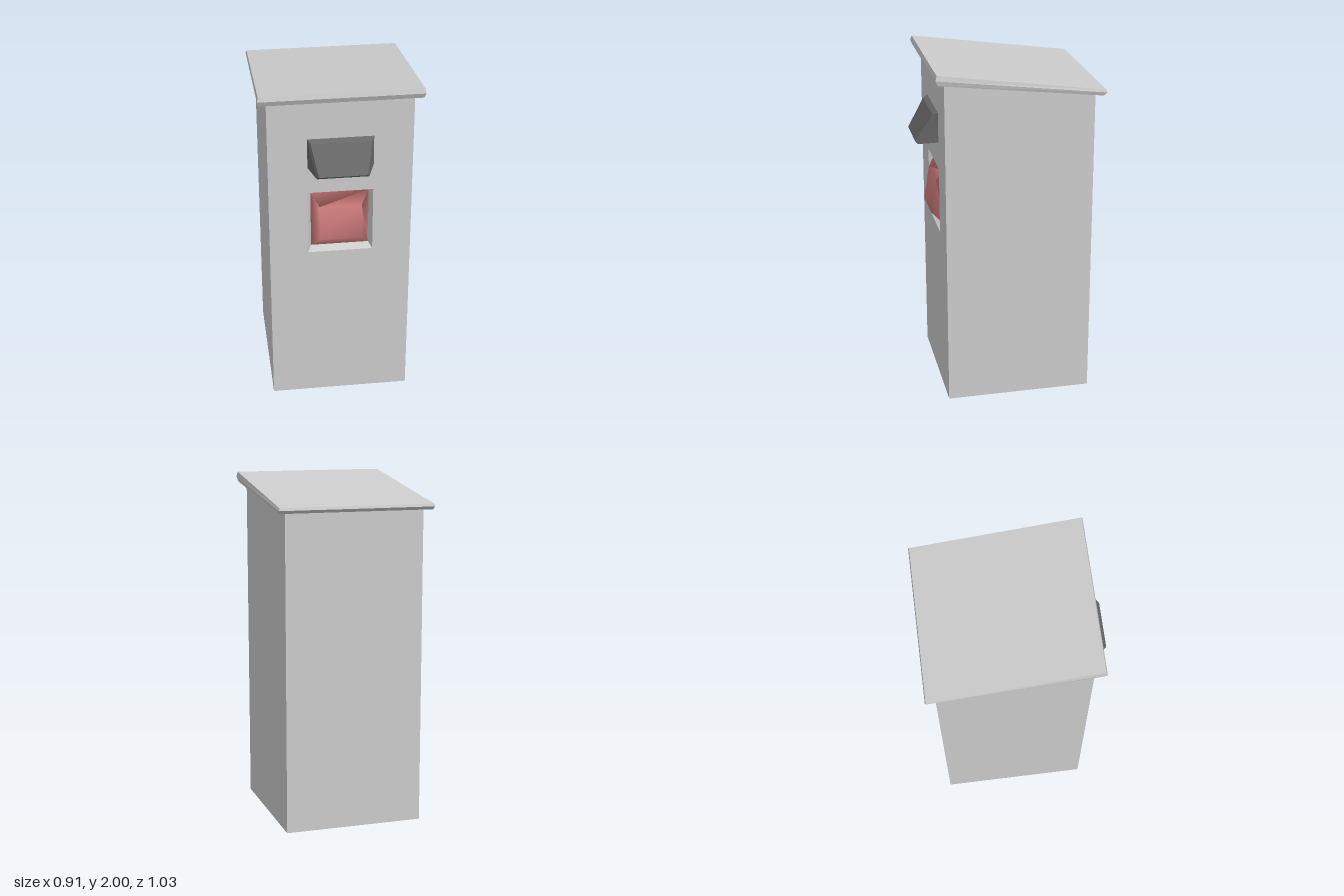
import * as THREE from 'three';

// Closed solid through four-cornered rings. Each ring has two parallel edges:
// [halfWidth, y, z of the first edge, halfWidth, y, z of the second edge]
function loft(rings, smooth = false) {
  const pos = [], index = [];
  for (const [w0, y0, z0, w1, y1, z1] of rings) {
    pos.push(-w0, y0, z0, w0, y0, z0, w1, y1, z1, -w1, y1, z1);
  }
  const quad = (a, b, c, d) => index.push(a, b, c, a, c, d);
  for (let r = 0; r < rings.length - 1; r++) {
    for (let i = 0; i < 4; i++) {
      const j = (i + 1) % 4, p = r * 4, q = p + 4;
      quad(p + i, p + j, q + j, q + i);
    }
  }
  const e = (rings.length - 1) * 4;
  quad(3, 2, 1, 0);
  quad(e, e + 1, e + 2, e + 3);
  let geo = new THREE.BufferGeometry();
  geo.setAttribute('position', new THREE.Float32BufferAttribute(pos, 3));
  geo.setIndex(index);
  if (!smooth) geo = geo.toNonIndexed();
  geo.computeVertexNormals();
  return geo;
}

export function createModel() {
  const group = new THREE.Group();
  const add = (name, geometry, color) => {
    const mesh = new THREE.Mesh(geometry, new THREE.MeshStandardMaterial({ color }));
    mesh.name = name;
    group.add(mesh);
  };

  // Cabinet, back to front, then inwards into the bevelled window recess
  add('cabinet', loft([
    [0.405, 0, -0.46, 0.405, 1.845, -0.46],
    [0.405, 0, 0.39, 0.405, 1.945, 0.39],
    [0.185, 0.985, 0.39, 0.185, 1.375, 0.39],
    [0.165, 1.01, 0.35, 0.165, 1.355, 0.35],
  ]), 0xcccccc);

  // Sloping roof slab, underside to top, with a bevelled rim
  add('roof', loft([
    [0.447, 1.942, 0.43, 0.447, 1.832, -0.495],
    [0.454, 1.972, 0.444, 0.454, 1.85, -0.515],
    [0.449, 2.0, 0.436, 0.449, 1.865, -0.51],
  ]), 0xcccccc);

  // Dark hood above the window, wall to front
  add('hood', loft([
    [0.185, 1.535, 0.39, 0.185, 1.71, 0.39],
    [0.145, 1.52, 0.5, 0.173, 1.7, 0.41],
    [0.135, 1.535, 0.515, 0.17, 1.695, 0.418],
  ]), 0x686868);

  // Red lens bulging out of the recess
  add('lens', loft([
    [0.165, 1.01, 0.351, 0.165, 1.355, 0.351],
    [0.12, 1.09, 0.432, 0.12, 1.285, 0.4],
  ], true), 0xd07c7c);

  return group;
}
